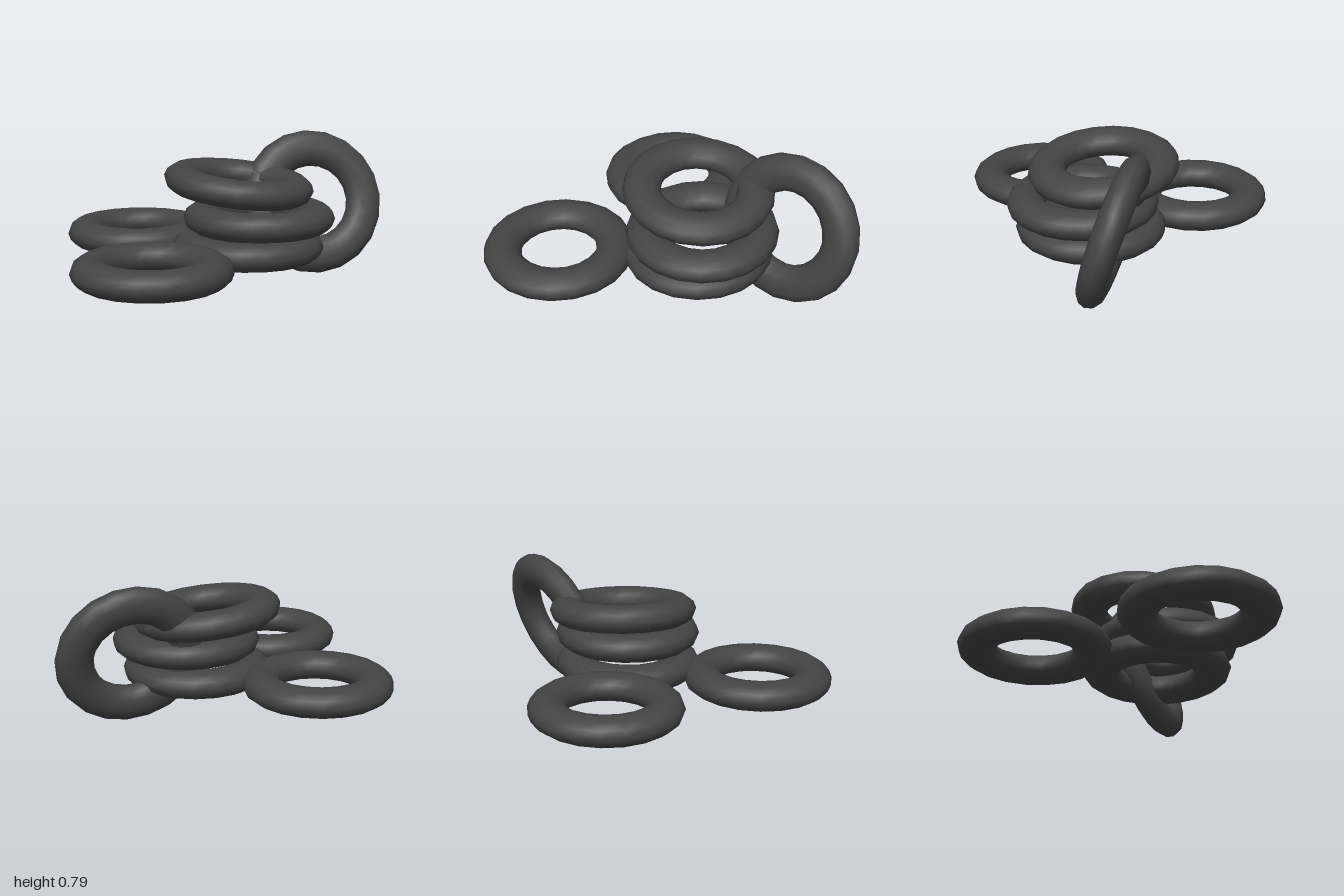
import * as THREE from 'three';

// Pile of slightly flattened rings: centre and axis direction of each
const RINGS = [
  { name: 'looseRingFront', at: [-0.59, 0.22, 0.437], axis: [0, 1, 0] },
  { name: 'looseRingBack', at: [-0.24, 0.22, -0.443], axis: [0, 1, 0] },
  { name: 'stackRingBottom', at: [0.12, 0.22, 0.177], axis: [0, 1, 0] },
  { name: 'stackRingMiddle', at: [0.16, 0.38, 0.222], axis: [0, 1, 0] },
  { name: 'stackRingTop', at: [0.1, 0.552, 0.107], axis: [0.08, 1, 0.08] },
  { name: 'leaningRing', at: [0.6, 0.403, 0.085], axis: [-0.3, 0.31, 1] },
];

export function createModel() {
  const group = new THREE.Group();
  group.name = 'ringPile';
  const material = new THREE.MeshStandardMaterial({ color: 0x444444 });

  // Torus squashed along its axis, so the tube is an oval
  const geometry = new THREE.TorusGeometry(0.307, 0.103, 12, 20);
  geometry.scale(1, 1, 0.75);
  geometry.computeBoundingSphere();

  const forward = new THREE.Vector3(0, 0, 1);
  for (const { name, at, axis } of RINGS) {
    const ring = new THREE.Mesh(geometry, material);
    ring.name = name;
    ring.position.set(...at);
    ring.quaternion.setFromUnitVectors(forward, new THREE.Vector3(...axis).normalize());
    group.add(ring);
  }
  return group;
}
